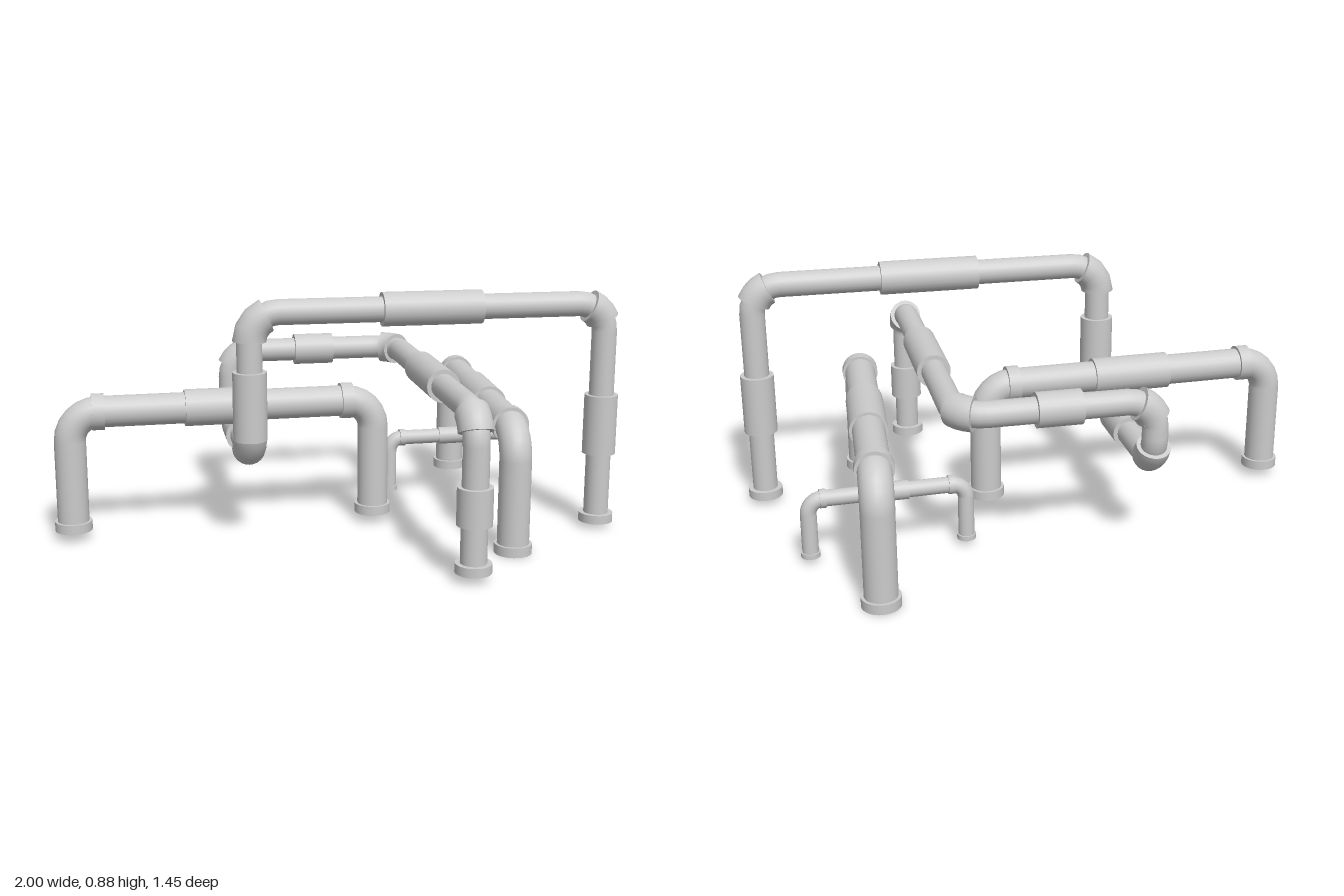
import * as THREE from 'three';

const SIDES = 24;
const material = new THREE.MeshStandardMaterial({ color: 0xcccccc, side: THREE.DoubleSide });
const V = (x, y, z) => new THREE.Vector3(x, y, z);
const UP = V(0, 1, 0);

// Part of a circular elbow between two directions at right angles
class Elbow extends THREE.Curve {
  constructor(corner, dirIn, dirOut, radius, from = 0, to = 90) {
    super();
    this.centre = corner.clone().addScaledVector(dirIn, -radius).addScaledVector(dirOut, radius);
    Object.assign(this, { dirIn, dirOut, radius, from, to });
  }
  getPoint(t, target = V(0, 0, 0)) {
    const a = THREE.MathUtils.degToRad(this.from + (this.to - this.from) * t);
    return target.copy(this.centre)
      .addScaledVector(this.dirIn, this.radius * Math.sin(a))
      .addScaledVector(this.dirOut, -this.radius * Math.cos(a));
  }
}

function add(group, name, geometry) {
  const mesh = new THREE.Mesh(geometry, material);
  mesh.name = name;
  group.add(mesh);
  return mesh;
}

// Round bar between two points
function bar(group, name, a, b, radius, open = false) {
  const mesh = add(group, name, new THREE.CylinderGeometry(radius, radius, a.distanceTo(b), SIDES, 1, open));
  mesh.position.copy(a).lerp(b, 0.5);
  mesh.quaternion.setFromUnitVectors(UP, b.clone().sub(a).normalize());
}

// Hollow ring at the open foot of a pipe
function foot(group, p, outer, inner, height) {
  const profile = [[inner, 0], [outer, 0], [outer, 0], [outer, height], [outer, height], [inner, height], [inner, height], [inner, 0]];
  const mesh = add(group, 'footRing', new THREE.LatheGeometry(profile.map(([x, y]) => new THREE.Vector2(x, y)), SIDES));
  mesh.position.copy(p);
}

// Pipe through corner points; sleeves = [fromDegrees, toDegrees] per corner, or null
function pipe(group, points, radius, bend, sleeves, sleeveRadius) {
  const last = points.length - 1;
  const dirs = points.slice(1).map((p, i) => p.clone().sub(points[i]).normalize());
  dirs.forEach((d, i) => {
    const a = points[i].clone().addScaledVector(d, i > 0 ? bend : 0);
    const b = points[i + 1].clone().addScaledVector(d, i + 1 < last ? -bend : 0);
    if (a.distanceTo(b) > 0.001) bar(group, 'pipe', a, b, radius, true);
    if (i === 0) return;
    const corner = [points[i], dirs[i - 1], d, bend];
    add(group, 'elbow', new THREE.TubeGeometry(new Elbow(...corner), 6, radius, SIDES));
    const range = sleeves && sleeves[i - 1];
    if (!range) return;
    // Wider sleeve over the middle of the elbow, closed at both ends
    const curve = new Elbow(...corner, ...range);
    add(group, 'elbowSleeve', new THREE.TubeGeometry(curve, 3, sleeveRadius, SIDES));
    for (const t of [0, 1]) {
      const cap = add(group, 'sleeveEnd', new THREE.CircleGeometry(sleeveRadius, SIDES));
      cap.position.copy(curve.getPoint(t));
      cap.quaternion.setFromUnitVectors(V(0, 0, 1), curve.getTangent(t));
    }
  });
}

// Arch of two legs and a bar, with a central coupling and a collar near each end
function arch(name, a, b, top, s) {
  const group = new THREE.Group();
  group.name = name;
  const raise = p => V(p.x, top, p.z);
  const ta = raise(a), tb = raise(b);
  pipe(group, [a, ta, tb, b], 0.055 * s, 0.1 * s);
  const dir = tb.clone().sub(ta).normalize();
  const length = ta.distanceTo(tb);
  const along = d => ta.clone().addScaledVector(dir, d);
  bar(group, 'coupling', along(length / 2 - 0.14 * s), along(length / 2 + 0.14 * s), 0.065 * s);
  bar(group, 'collar', along(0.078 * s), along(0.122 * s), 0.064 * s);
  bar(group, 'collar', along(length - 0.122 * s), along(length - 0.078 * s), 0.064 * s);
  for (const p of [a, b]) foot(group, p, 0.065 * s, 0.046 * s, 0.034 * s);
  return group;
}

export function createModel() {
  const model = new THREE.Group();
  model.name = 'pipework';

  // Long winding pipe
  const main = new THREE.Group();
  main.name = 'windingPipe';
  const start = V(0.933, 0.02, 0.2), end = V(0.338, 0.03, 0.664);
  const path = [
    start, V(0.933, 0.818, 0.2), V(-0.325, 0.818, 0.2), V(-0.325, 0.325, 0.2),
    V(-0.325, 0.325, -0.507), V(-0.325, 0.553, -0.507), V(0.338, 0.553, -0.507), V(0.338, 0.553, 0.664), end,
  ];
  const mid = [25, 66];
  pipe(main, path, 0.044, 0.1, [mid, [24, 88], [10, 66], mid, mid, mid, mid], 0.058);
  const couplings = [
    [V(0.933, 0.275, 0.2), V(0.933, 0.49, 0.2)],
    [V(0.13, 0.818, 0.2), V(0.48, 0.818, 0.2)],
    [V(-0.325, 0.38, 0.2), V(-0.325, 0.617, 0.2)],
    [V(-0.325, 0.325, -0.07), V(-0.325, 0.325, -0.24)],
    [V(-0.07, 0.553, -0.507), V(0.08, 0.553, -0.507)],
    [V(0.338, 0.553, -0.08), V(0.338, 0.553, 0.255)],
    [V(0.338, 0.19, 0.664), V(0.338, 0.317, 0.664)],
  ];
  for (const [a, b] of couplings) bar(main, 'coupling', a, b, 0.059);
  for (const p of [start, end]) foot(main, p, 0.061, 0.038, 0.032);
  model.add(main);

  // Separate arches
  model.add(
    arch('rightArch', V(-0.936, 0.033, 0.018), V(0.145, 0.033, -0.008), 0.456, 1),
    arch('leftArch', V(0.548, 0, 0.425), V(0.614, 0, -0.656), 0.428, 1),
    arch('smallArch', V(0.275, 0.02, -0.306), V(0.808, 0.02, -0.318), 0.226, 0.5),
  );
  return model;
}
